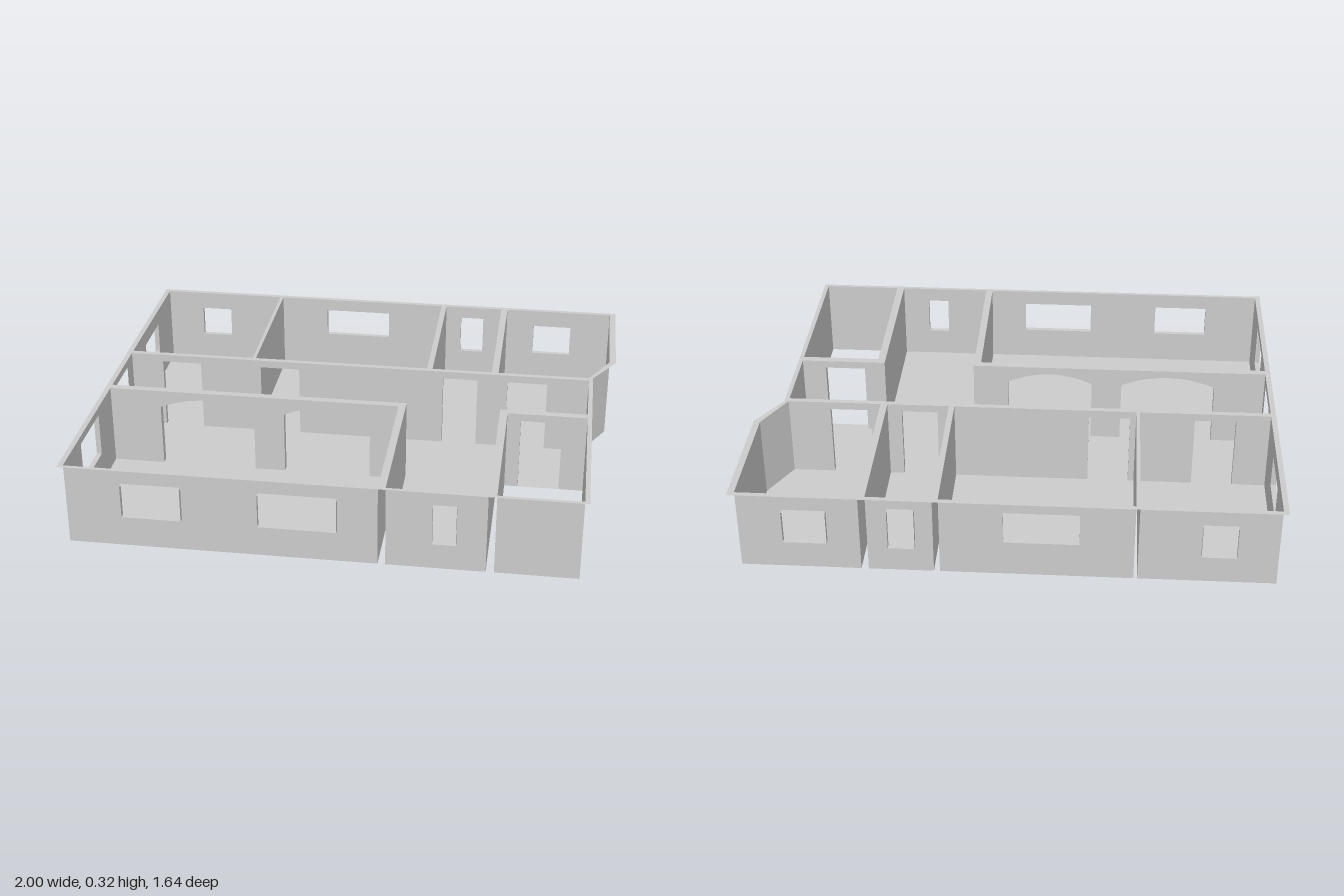
import * as THREE from 'three';

const H = 0.32; // wall height
const mat = new THREE.MeshStandardMaterial({ color: 0xcccccc, side: THREE.DoubleSide, flatShading: true });

// Main plan lines
const L = -0.98, R = 0.975, BACK = -0.8, FRONT = 0.8;
const backRoomZ = -0.172, hallBackZ = -0.15, hallFrontZ = 0.145, frontRoomZ = 0.175;
const rect = (x0, z0, x1, z1) => [[x0, z0], [x1, z0], [x1, z1], [x0, z1]];

// Rooms as floor outlines [x, z]
const rooms = [
  { name: 'backRightRoom', pts: rect(L, BACK, -0.477, backRoomZ) },
  { name: 'backMiddleRoom', pts: rect(-0.463, BACK, 0.243, backRoomZ) },
  { name: 'backSmallRoom', pts: rect(0.265, BACK, 0.505, backRoomZ) },
  { name: 'backLeftRoom', pts: [[0.532, BACK], [R, BACK], [R, -0.33], [0.893, backRoomZ], [0.532, backRoomZ]] },
  {
    name: 'corridor',
    pts: [[L, hallBackZ], [0.893, hallBackZ], [0.893, hallFrontZ], [0.558, hallFrontZ],
      [0.558, FRONT], [0.195, FRONT], [0.195, hallFrontZ], [L, hallFrontZ]],
  },
  { name: 'livingRoom', pts: rect(L, frontRoomZ, 0.167, FRONT) },
  { name: 'frontLeftRoom', pts: rect(0.588, frontRoomZ, 0.893, FRONT), open: true },
];

// Openings: axis they run along, span s0..s1, heights y0..y1, depth c0..c1, arch rise
const opening = (name, axis, s0, s1, y0, y1, c0, c1, rise = 0) => ({ name, axis, s0, s1, y0, y1, c0, c1, rise });
const openings = [
  // front windows
  opening('frontWindow', 'x', -0.77, -0.55, 0.13, 0.26, FRONT, 0.82),
  opening('frontWindow', 'x', -0.267, 0.02, 0.13, 0.26, FRONT, 0.82),
  opening('hallWindow', 'x', 0.364, 0.45, 0.112, 0.263, FRONT, 0.82),
  // back windows
  opening('backWindow', 'x', -0.83, -0.703, 0.12, 0.247, BACK, -0.82),
  opening('backWindow', 'x', -0.265, 0.01, 0.155, 0.27, BACK, -0.82),
  opening('backWindow', 'x', 0.33, 0.428, 0.11, 0.27, BACK, -0.82),
  opening('backWindow', 'x', 0.65, 0.81, 0.12, 0.25, BACK, -0.82),
  // side windows and corridor end
  opening('sideWindow', 'z', -0.575, -0.36, 0.13, 0.258, L, -1),
  opening('sideWindow', 'z', 0.35, 0.585, 0.12, 0.29, L, -1),
  opening('corridorEndDoorway', 'z', -0.073, 0.097, 0, 0.29, L, L),
  // doors from the corridor
  opening('doorway', 'x', -0.85, -0.69, 0, 0.29, backRoomZ, hallBackZ),
  opening('doorway', 'x', -0.44, -0.28, 0, 0.29, backRoomZ, hallBackZ),
  opening('doorway', 'x', 0.31, 0.45, 0, 0.29, backRoomZ, hallBackZ),
  opening('doorway', 'x', 0.57, 0.73, 0, 0.29, backRoomZ, hallBackZ),
  opening('doorway', 'x', 0.64, 0.8, 0, 0.29, hallFrontZ, frontRoomZ),
  // living room arches
  opening('archway', 'x', -0.78, -0.405, 0, 0.25, hallFrontZ, frontRoomZ, 0.04),
  opening('archway', 'x', -0.285, 0.055, 0, 0.25, hallFrontZ, frontRoomZ, 0.04),
];

// Outline of an opening as [s, y], up one side and down the other
function outline({ s0, s1, y0, y1, rise }) {
  const pts = [[s0, y0]];
  const n = rise ? 12 : 1;
  for (let i = 0; i <= n; i++) {
    const t = i / n;
    pts.push([s0 + (s1 - s0) * t, y1 + rise * 4 * t * (1 - t)]);
  }
  pts.push([s1, y0]);
  return pts;
}

function add(parent, name, geometry) {
  const mesh = new THREE.Mesh(geometry, mat);
  mesh.name = name;
  parent.add(mesh);
  return mesh;
}

const toVec = ([x, y]) => new THREE.Vector2(x, y);

// One wall from a to b with its doors and windows cut out
function wall(parent, a, b) {
  const dx = b[0] - a[0], dz = b[1] - a[1], len = Math.hypot(dx, dz);
  const k = Math.abs(dx) > Math.abs(dz) ? 0 : 1; // running axis
  const dir = Math.sign(b[k] - a[k]);
  const lo = Math.min(a[k], b[k]), hi = Math.max(a[k], b[k]), at = a[1 - k];
  const cuts = a[1 - k] !== b[1 - k] ? [] : openings
    .filter((o) => o.axis === 'xz'[k] && (o.c0 === at || o.c1 === at) && o.s0 > lo && o.s1 < hi)
    .sort((p, q) => (p.s0 - q.s0) * dir);
  const contour = [[0, 0]], holes = [];
  for (const o of cuts) {
    const pts = outline(o).map(([s, y]) => [(s - a[k]) * dir, y]);
    if (dir < 0) pts.reverse();
    if (o.y0 === 0) contour.push(...pts);
    else holes.push(new THREE.Path(pts.map(toVec)));
  }
  contour.push([len, 0], [len, H], [0, H]);
  const shape = new THREE.Shape(contour.map(toVec));
  shape.holes = holes;
  const mesh = add(parent, 'wall', new THREE.ShapeGeometry(shape));
  mesh.position.set(a[0], 0, a[1]);
  mesh.rotation.y = Math.atan2(-dz, dx);
}

// Lining of an opening through its depth, including sill or threshold
function lining(parent, o) {
  if (o.c0 === o.c1) return;
  const pts = outline(o), pos = [];
  const p = ([s, y], c) => (o.axis === 'x' ? [s, y, c] : [c, y, s]);
  pts.forEach((u, i) => {
    const v = pts[(i + 1) % pts.length];
    pos.push(...p(u, o.c0), ...p(v, o.c0), ...p(v, o.c1), ...p(u, o.c0), ...p(v, o.c1), ...p(u, o.c1));
  });
  const g = new THREE.BufferGeometry();
  g.setAttribute('position', new THREE.Float32BufferAttribute(pos, 3));
  g.computeVertexNormals();
  add(parent, o.name + 'Lining', g);
}

// Flat horizontal face from an [x, z] outline, facing up
function flat(pts, holes = []) {
  const flip = ([x, z]) => new THREE.Vector2(x, -z);
  const shape = new THREE.Shape(pts.map(flip));
  shape.holes = holes.map((h) => new THREE.Path(h.map(flip)));
  return new THREE.ShapeGeometry(shape).rotateX(-Math.PI / 2);
}

export function createModel() {
  const model = new THREE.Group();
  model.name = 'housePlan';

  // Rooms: floor and surrounding walls
  for (const { name, pts, open } of rooms) {
    const room = new THREE.Group();
    room.name = name;
    if (!open) add(room, 'floor', flat(pts));
    pts.forEach((a, i) => wall(room, a, pts[(i + 1) % pts.length]));
    model.add(room);
  }

  // Window and door linings
  const linings = new THREE.Group();
  linings.name = 'openings';
  openings.forEach((o) => lining(linings, o));
  model.add(linings);

  // Thin cap over the wall tops, slightly overhanging
  const edge = [[-1, -0.82], [1, -0.82], [1, -0.325], [0.91, -0.172], [0.91, 0.815], [-1, 0.815]];
  add(model, 'wallCap', flat(edge, rooms.map((r) => r.pts))).position.y = H;
  return model;
}
